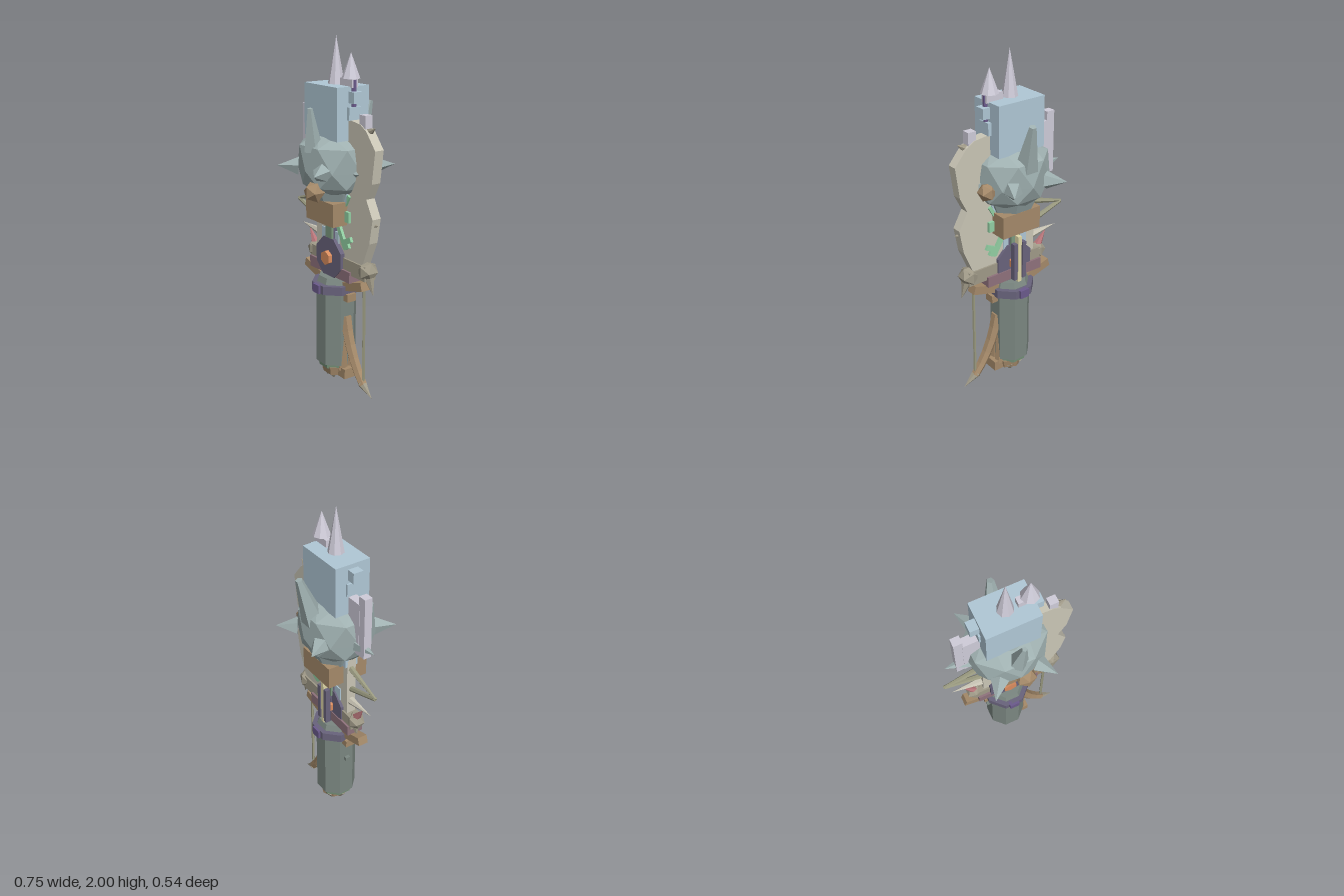
import * as THREE from 'three';
import { ConvexGeometry } from 'three/addons/geometries/ConvexGeometry.js';

const C = {
  steel: 0x9fb0b0, handle: 0x7b8781, blue: 0xb0c8d6, lilac: 0xcfccd9, brown: 0xa58a6a, bone: 0xcac6b6,
  tan: 0xa09a88, olive: 0x9a9a80, green: 0x93d0a4, moss: 0x7d9a80, purple: 0x69637c, violet: 0x6b5a8c,
  mauve: 0x8f727c, orange: 0xd98c5e, red: 0xb8767a, cream: 0xe0d8a8
};
const V = (x, y, z = 0) => new THREE.Vector3(x, y, z);

export function createModel() {
  const root = new THREE.Group();

  const add = (name, geo, color, x = 0, y = 0, z = 0) => {
    const m = new THREE.Mesh(geo, new THREE.MeshStandardMaterial({ color, flatShading: true }));
    m.name = name;
    m.position.set(x, y, z);
    root.add(m);
    return m;
  };
  // Box given by its x and y limits and full depth
  const box = (name, color, x0, x1, y0, y1, d, z = 0) =>
    add(name, new THREE.BoxGeometry(x1 - x0, y1 - y0, d), color, (x0 + x1) / 2, (y0 + y1) / 2, z);
  // Upright prism, flat faces front and side
  const prism = (name, color, y0, y1, r0, r1, x = 0, n = 8) => {
    const m = add(name, new THREE.CylinderGeometry(r1, r0, y1 - y0, n), color, x, (y0 + y1) / 2);
    m.rotation.y = Math.PI / n;
    return m;
  };
  // Tapered bar from a to b
  const taper = (name, color, a, b, r0, r1 = 0, n = 6) => {
    const d = b.clone().sub(a);
    const m = add(name, new THREE.CylinderGeometry(r1, r0, d.length(), n), color);
    m.position.copy(a).addScaledVector(d, 0.5);
    m.quaternion.setFromUnitVectors(V(0, 1), d.normalize());
    return m;
  };
  // Rectangular bar from a to b in the x-y plane
  const beam = (name, color, x0, y0, x1, y1, w, d, z = 0) => {
    const m = add(name, new THREE.BoxGeometry(Math.hypot(x1 - x0, y1 - y0), w, d), color, (x0 + x1) / 2, (y0 + y1) / 2, z);
    m.rotation.z = Math.atan2(y1 - y0, x1 - x0);
    return m;
  };
  const plate = (name, color, pts, d) => {
    const shape = new THREE.Shape(pts.map(p => new THREE.Vector2(...p)));
    return add(name, new THREE.ExtrudeGeometry(shape, { depth: d, bevelEnabled: false }), color, 0, 0, -d / 2);
  };
  const stud = (name, color, x, y, z, r) => add(name, new THREE.IcosahedronGeometry(r, 0), color, x, y, z);

  // Grip and its bands
  prism('grip', C.handle, 0.13, 0.6, 0.118, 0.118);
  prism('gripBottomBand', C.moss, 0.1, 0.14, 0.1, 0.108);
  prism('gripCollar', C.purple, 0.575, 0.625, 0.142, 0.142);
  prism('gripUpperCollar', C.handle, 0.62, 0.66, 0.115, 0.1);
  box('gripPeg', C.handle, -0.13, -0.1, 0.4, 0.425, 0.03);
  for (const s of [-1, 1]) {
    box('collarTab', C.brown, s * 0.125 - 0.025, s * 0.125 + 0.025, 0.535, 0.58, 0.06);
    add('collarSideTab', new THREE.BoxGeometry(0.06, 0.05, 0.03), C.violet, 0, 0.6, s * 0.13);
  }

  // Pommel with short claws underneath
  prism('pommel', C.brown, 0.06, 0.11, 0.085, 0.095, 0.015, 7);
  box('pommelBlock', C.brown, 0.06, 0.145, 0.06, 0.12, 0.09);
  for (let i = 0; i < 6; i++) {
    const a = i * Math.PI / 3;
    taper('pommelClaw', C.tan, V(0.01 + 0.06 * Math.cos(a), 0.08, 0.06 * Math.sin(a)),
      V(0.01 + 0.05 * Math.cos(a), 0.035, 0.05 * Math.sin(a)), 0.03, 0.01, 5);
  }

  // Curved tusk, swept as shrinking segments
  const tusk = new THREE.QuadraticBezierCurve3(V(0.09, 0.43), V(0.13, 0.21), V(0.26, 0.06));
  for (let i = 0; i < 5; i++)
    taper('tuskSegment', C.brown, tusk.getPoint(i / 5), tusk.getPoint((i + 1) / 5), 0.036 - i * 0.002, 0.034 - i * 0.002, 6);
  taper('tuskTip', C.tan, V(0.25, 0.07), V(0.34, 0.005), 0.028);
  for (const s of [-1, 1])
    taper('gripFang', C.brown, V(0.1, 0.1, s * 0.025), V(0.1, 0.4, s * 0.015), 0.028, 0.005, 5);

  // Crossbow limbs and string
  beam('leftLimb', C.brown, 0.02, 0.595, 0.27, 0.665, 0.05, 0.06);
  beam('rightLimb', C.brown, -0.02, 0.59, -0.27, 0.665, 0.05, 0.06);
  taper('bowString', C.olive, V(0.26, 0.07), V(0.26, 0.66), 0.009, 0.009, 5);
  box('limbBlock', C.mauve, -0.19, 0.19, 0.665, 0.73, 0.1);

  // Cross guard with studded ends
  box('crossGuard', C.tan, -0.2, 0.31, 0.71, 0.795, 0.075);
  stud('leftGuardBall', C.tan, 0.29, 0.76, 0, 0.06);
  stud('rightGuardBall', C.tan, -0.2, 0.765, 0, 0.052);
  taper('leftGuardClaw', C.tan, V(0.3, 0.74), V(0.34, 0.63), 0.035);
  taper('rightGuardClaw', C.tan, V(-0.19, 0.74), V(-0.21, 0.66), 0.03);

  // Round shield boss and its hub
  const disc = add('disc', new THREE.CylinderGeometry(0.125, 0.125, 0.1, 8), C.purple, 0, 0.77, 0.005);
  disc.rotation.set(Math.PI / 2, Math.PI / 8, 0, 'XYZ');
  const hub = add('discHub', new THREE.CylinderGeometry(0.042, 0.042, 0.16, 6), C.orange, 0, 0.77);
  hub.rotation.x = Math.PI / 2;
  for (const x of [-0.03, 0.03]) box('backRail', C.purple, x - 0.012, x + 0.012, 0.68, 0.91, 0.03, -0.083);
  box('backRod', C.cream, -0.012, 0.012, 0.66, 0.95, 0.03, -0.08);

  // Shaft and block under the head
  prism('shaft', C.purple, 0.64, 1.0, 0.055, 0.055);
  box('shaftSleeve', C.blue, -0.09, 0.07, 0.85, 0.93, 0.07);
  for (const z of [-0.045, 0.045]) box('shaftStrip', C.moss, -0.03, 0.03, 0.85, 1.15, 0.018, z);
  box('neckBlock', C.brown, -0.115, 0.14, 0.99, 1.12, 0.25);
  prism('neck', C.steel, 1.11, 1.2, 0.13, 0.17);
  box('neckCore', C.blue, -0.15, 0.15, 1.115, 1.2, 0.08);

  // Broad chipped blade
  plate('blade', C.bone, [[-0.15, 0.79], [-0.15, 1.25], [0.05, 1.4], [0.1, 1.58], [0.25, 1.56], [0.3, 1.53], [0.375, 1.44],
    [0.35, 1.26], [0.305, 1.17], [0.36, 1.07], [0.335, 0.93], [0.28, 0.8], [0.3, 0.76], [-0.1, 0.76]], 0.056);
  taper('bladeTopSpike', C.tan, V(0.285, 1.52), V(0.34, 1.55), 0.025);
  taper('bladeSideSpike', C.tan, V(0.32, 1.03), V(0.375, 1.035), 0.025);

  // Key
  box('keyTab', C.green, 0.135, 0.175, 1.01, 1.07, 0.09);
  beam('keyStem', C.green, 0.07, 0.98, 0.14, 0.855, 0.03, 0.09);
  beam('keyBit', C.green, 0.12, 0.885, 0.19, 0.92, 0.03, 0.09);
  beam('keyEnd', C.green, 0.13, 0.86, 0.17, 0.88, 0.03, 0.09);
  beam('keyTop', C.green, 0.13, 1.1, 0.165, 1.16, 0.02, 0.08);

  // Side barbs
  taper('barbUpper', C.olive, V(-0.13, 1.1), V(-0.375, 1.03), 0.02, 0.008);
  taper('barbLower', C.olive, V(-0.37, 1.03), V(-0.14, 0.955), 0.012, 0.016);
  taper('paleBarb', C.bone, V(-0.14, 0.875), V(-0.335, 0.89), 0.026);
  taper('redBarb', C.red, V(-0.19, 0.77), V(-0.265, 0.88), 0.032);

  // Faceted mace head
  const pts = [];
  [[1.165, 0.16, 0], [1.2, 0.205, 0.5], [1.29, 0.23, 0], [1.42, 0.222, 0.5], [1.47, 0.13, 0]].forEach(([y, r, p]) => {
    for (let i = 0; i < 8; i++) {
      const a = (i + p) * Math.PI / 4;
      pts.push(V(r * Math.cos(a), y, 0.9 * r * Math.sin(a)));
    }
  });
  add('maceHead', new ConvexGeometry(pts), C.steel);
  for (const sx of [-1, 1]) for (const sz of [-1, 1])
    taper('maceSpike', C.steel, V(sx * 0.112, 1.295, sz * 0.175), V(sx * 0.178, 1.3, sz * 0.272), 0.052, 0, 5);
  taper('maceRightSpike', C.steel, V(-0.21, 1.295), V(-0.35, 1.305), 0.045, 0, 5);
  taper('maceLeftSpike', C.steel, V(0.21, 1.29), V(0.29, 1.29), 0.045, 0, 5);
  taper('frontHorn', C.steel, V(0, 1.4, 0.155), V(0.018, 1.63, 0.185), 0.056, 0.014, 5);
  taper('backHorn', C.steel, V(0, 1.38, -0.14), V(0.018, 1.64, -0.215), 0.068, 0.02, 5);
  stud('frontStud', C.brown, 0.04, 1.18, 0.175, 0.062);
  stud('sideStud', C.brown, 0.205, 1.275, -0.07, 0.054);

  // Hammer block on top
  box('hammerBlock', C.blue, -0.15, 0.15, 1.46, 1.745, 0.21);
  box('hammerPeg', C.blue, -0.2, 0.195, 1.66, 1.72, 0.06);
  box('hammerLowerPeg', C.blue, -0.16, 0.17, 1.57, 1.64, 0.08);

  // Forked side prongs
  box('rightProng', C.lilac, -0.29, -0.24, 1.25, 1.61, 0.046);
  box('rightProngPlate', C.lilac, -0.245, -0.14, 1.25, 1.56, 0.05);
  box('leftProng', C.lilac, 0.235, 0.285, 1.45, 1.61, 0.046);
  box('leftProngPlate', C.lilac, 0.14, 0.24, 1.45, 1.56, 0.05);

  // Top spikes
  taper('mainSpike', C.lilac, V(0, 1.74), V(0, 2), 0.046, 0, 8);
  taper('smallSpike', C.lilac, V(0.13, 1.785), V(0.13, 1.92), 0.05, 0, 8);
  box('smallSpikeCollar', C.lilac, 0.06, 0.165, 1.74, 1.785, 0.04);
  taper('smallSpikeRod', C.violet, V(0.157, 1.5), V(0.157, 1.78), 0.014, 0.014);

  return root;
}
